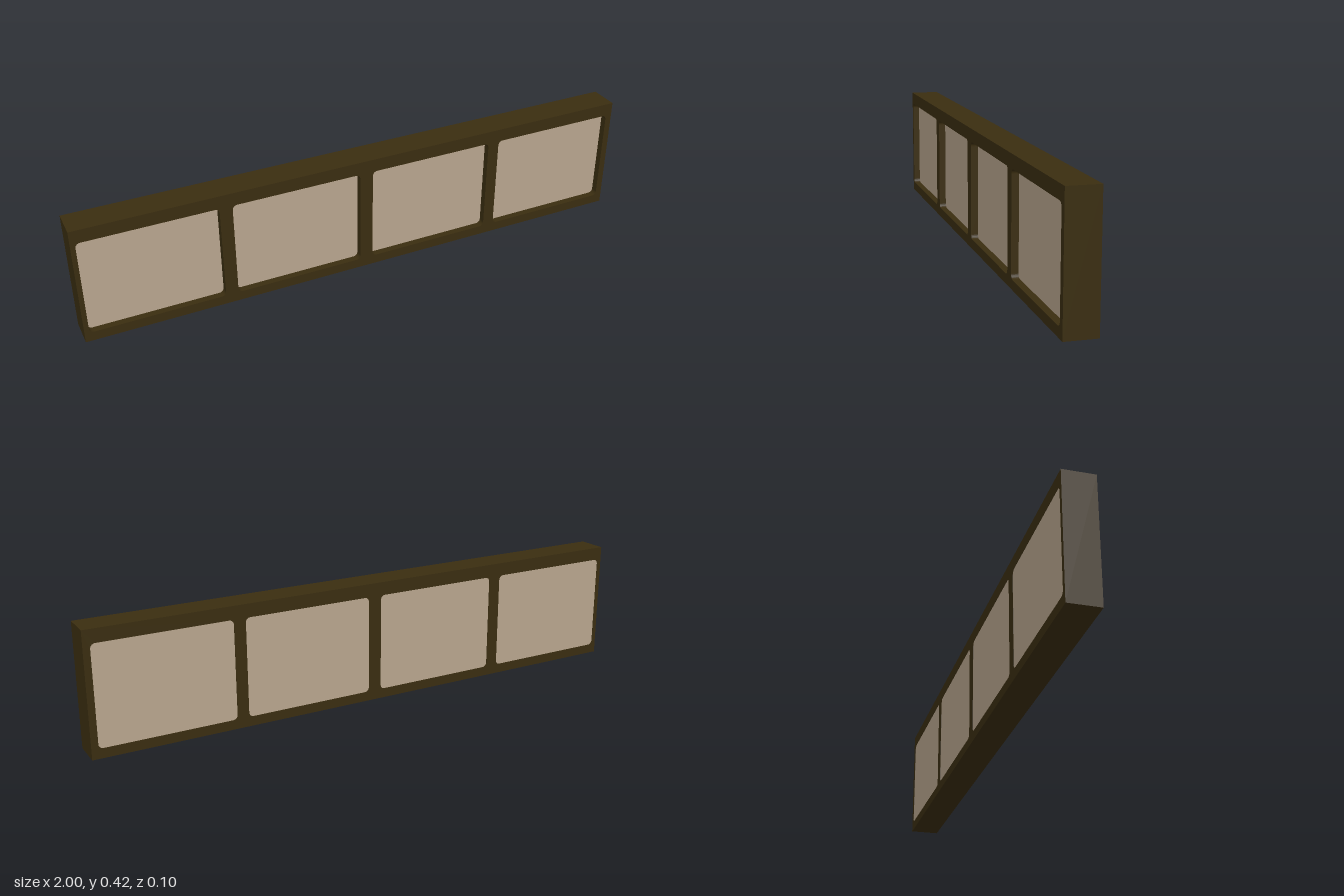
import * as THREE from 'three';

const HEIGHT = 0.42, DEPTH = 0.105, RADIUS = 0.016;
const BOTTOM = 0.033, TOP = 0.374;
// left and right edge of each opening
const OPENINGS = [[-0.984, -0.523], [-0.479, -0.026], [0.021, 0.474], [0.515, 0.977]];

// Trace a rounded rectangle into a Path or Shape
function roundedRect(path, x0, y0, x1, y1, r) {
  path.moveTo(x0 + r, y0);
  path.lineTo(x1 - r, y0);
  path.absarc(x1 - r, y0 + r, r, -Math.PI / 2, 0);
  path.lineTo(x1, y1 - r);
  path.absarc(x1 - r, y1 - r, r, 0, Math.PI / 2);
  path.lineTo(x0 + r, y1);
  path.absarc(x0 + r, y1 - r, r, Math.PI / 2, Math.PI);
  path.lineTo(x0, y0 + r);
  path.absarc(x0 + r, y0 + r, r, Math.PI, Math.PI * 1.5);
  return path;
}

function extrude(shape, depth, z) {
  return new THREE.ExtrudeGeometry(shape, { depth, bevelEnabled: false, curveSegments: 5 }).translate(0, 0, z);
}

export function createModel() {
  const group = new THREE.Group();
  group.name = 'panelledWindow';
  const frameMaterial = new THREE.MeshStandardMaterial({ color: 0x3a2d10 });
  frameMaterial.name = 'dark wood';
  const paneMaterial = new THREE.MeshStandardMaterial({ color: 0xb8a58e });
  paneMaterial.name = 'beige pane';

  // Frame: a slab with four rounded openings
  const outline = new THREE.Shape();
  outline.moveTo(-1, 0).lineTo(1, 0).lineTo(1, HEIGHT).lineTo(-1, HEIGHT).closePath();
  for (const [x0, x1] of OPENINGS) {
    outline.holes.push(roundedRect(new THREE.Path(), x0, BOTTOM, x1, TOP, RADIUS));
  }
  const frame = new THREE.Mesh(extrude(outline, DEPTH, -DEPTH / 2), frameMaterial);
  frame.name = 'frame';
  group.add(frame);

  // Panes: recessed at the front, nearly flush at the back
  OPENINGS.forEach(([x0, x1], i) => {
    const shape = roundedRect(new THREE.Shape(), x0, BOTTOM, x1, TOP, RADIUS);
    const pane = new THREE.Mesh(extrude(shape, 0.08, -DEPTH / 2 + 0.001), paneMaterial);
    pane.name = `pane${i + 1}`;
    group.add(pane);
  });
  return group;
}
